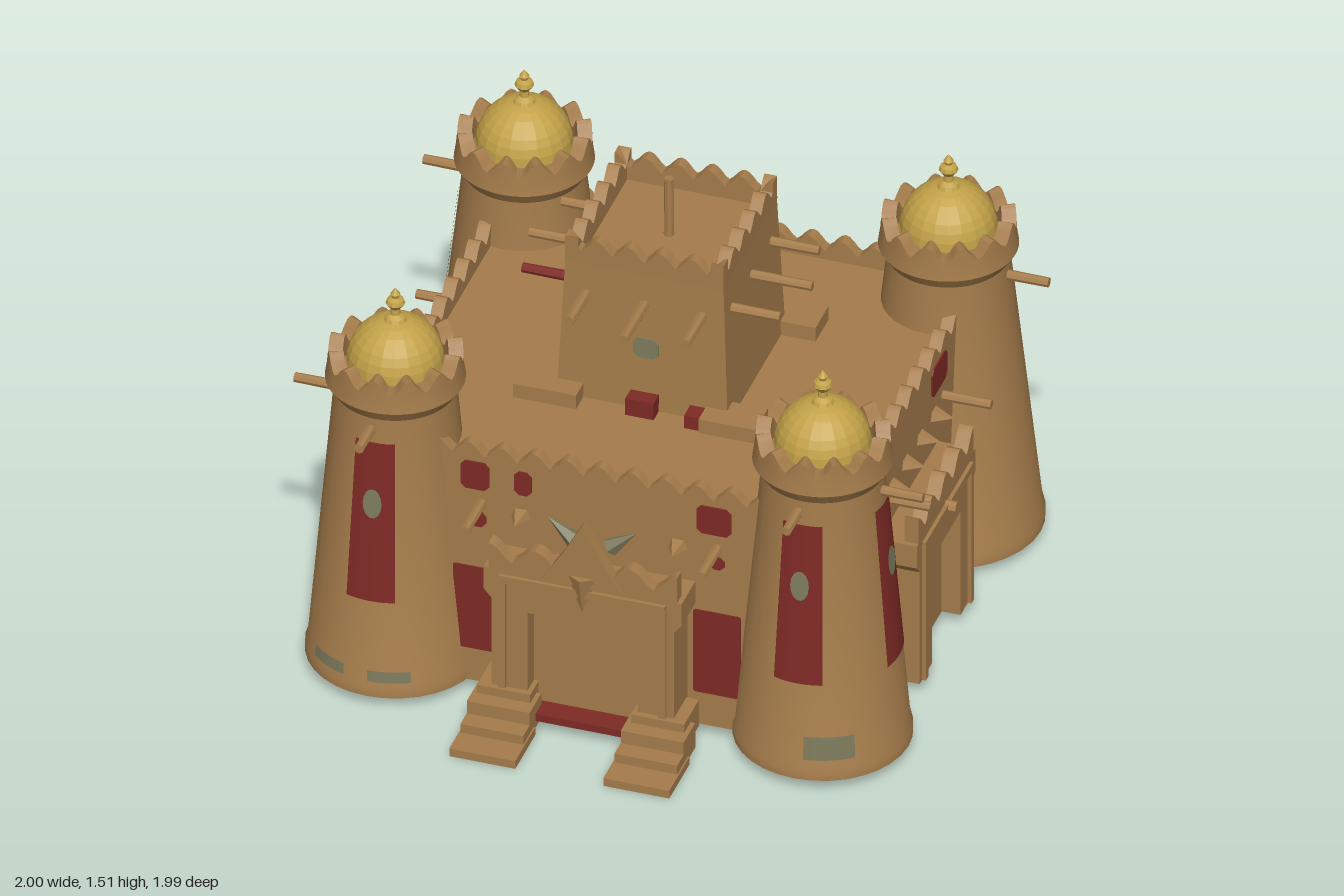
import * as THREE from 'three';
import { toCreasedNormals } from 'three/addons/utils/BufferGeometryUtils.js';

const mat = (name, color) => {
  const m = new THREE.MeshStandardMaterial({ color });
  m.name = name;
  return m;
};

export function createModel() {
  const root = new THREE.Group();
  root.name = 'fort';
  const sand = mat('sand clay', 0xa57c4b);
  const red = mat('red paint', 0x7e2a25);
  const gold = mat('dome gold', 0xc3a248);
  const grey = mat('grey green', 0x7d7a5c);

  const add = (parent, name, geo, m, x = 0, y = 0, z = 0) => {
    const mesh = new THREE.Mesh(toCreasedNormals(geo, 0.5), m);
    mesh.name = name;
    mesh.position.set(x, y, z);
    parent.add(mesh);
    return mesh;
  };
  // box given by its minimum and maximum corners
  const box = (parent, name, m, x0, x1, y0, y1, z0, z1) =>
    add(parent, name, new THREE.BoxGeometry(x1 - x0, y1 - y0, z1 - z0), m, (x0 + x1) / 2, (y0 + y1) / 2, (z0 + z1) / 2);
  // round beam along z from z0 to z1
  const beam = (parent, name, m, x, y, z0, z1, r = 0.017) =>
    add(parent, name, new THREE.CylinderGeometry(r * 0.9, r, z1 - z0, 8).rotateX(Math.PI / 2), m, x, y, (z0 + z1) / 2);
  // thin painted patch with clipped corners, facing +z
  const patch = (parent, name, m, x0, x1, y0, y1, z, c = 0.015) => {
    const s = new THREE.Shape([[x0 + c, y0], [x1 - c, y0], [x1, y0 + c], [x1, y1 - c], [x1 - c, y1], [x0 + c, y1], [x0, y1 - c], [x0, y0 + c]]
      .map(p => new THREE.Vector2(...p)));
    return add(parent, name, new THREE.ExtrudeGeometry(s, { depth: 0.005, bevelEnabled: false }), m, 0, 0, z);
  };
  // parapet with a wavy top edge, outer face at z
  const parapet = (parent, name, len, y0, y1, amp, n, z, depth = 0.04) => {
    const s = new THREE.Shape();
    s.moveTo(-len / 2, y0);
    s.lineTo(len / 2, y0);
    const steps = n * 8;
    for (let i = steps; i >= 0; i--) {
      const t = i / steps;
      s.lineTo((t - 0.5) * len, y1 - amp * (1 - Math.abs(Math.cos(t * n * Math.PI)) ** 1.5));
    }
    return add(parent, name, new THREE.ExtrudeGeometry(s, { depth, bevelEnabled: false }), sand, 0, 0, z - depth);
  };

  // main block
  box(root, 'mainBlock', sand, -0.76, 0.76, 0.04, 0.835, -0.75, 0.65);

  // four wall sides, each built facing +z: front, right, back, left
  const walls = [[0, 0.7, 1.04], [Math.PI / 2, 0.76, 0.84], [Math.PI, 0.7, 1.04], [-Math.PI / 2, 0.76, 0.84]].map(([a, d, len], i) => {
    const g = new THREE.Group();
    g.name = ['frontWall', 'rightWall', 'backWall', 'leftWall'][i];
    g.position.z = -0.05;
    g.rotation.y = a;
    root.add(g);
    parapet(g, 'wallParapet', len, 0.8, 0.91, 0.045, i % 2 ? 8 : 10, d);
    const bx = i % 2 ? 0.285 : 0.375;
    for (const s of [-1, 1]) beam(g, 'wallBeam', sand, s * bx, 0.695, d - 0.03, d + 0.155);
    // small pointed brackets
    for (const x of i === 0 ? [-0.25, 0.25] : [-0.2, -0.07, 0.07, 0.2]) {
      const b = add(g, 'bracket', new THREE.ConeGeometry(0.035, 0.07, 5).rotateX(Math.PI / 2), sand, x, 0.68, d + 0.03);
      b.scale.y = 0.8;
    }
    if (i % 2) {
      patch(g, 'redPatch', red, -0.35, -0.26, 0.77, 0.85, d + 0.001);
      patch(g, 'redPatch', red, 0.17, 0.31, 0.755, 0.855, d + 0.001);
    } else {
      patch(g, 'redPatch', red, -0.44, -0.35, 0.745, 0.845, d + 0.001);
      patch(g, 'redPatch', red, 0.31, 0.42, 0.745, 0.845, d + 0.001);
    }
    return g;
  });
  const front = walls[0];
  for (const s of [[-0.27, -0.215, 0.755, 0.84], [-0.41, -0.36, 0.61, 0.665], [0.35, 0.4, 0.62, 0.665]]) patch(front, 'redPatch', red, ...s, 0.701);
  patch(front, 'redWallPanel', red, -0.465, -0.31, 0.16, 0.46, 0.701, 0.005);
  patch(front, 'redWallPanel', red, 0.3, 0.45, 0.16, 0.46, 0.701, 0.005);

  // projecting gate with a recessed doorway, facing +z
  const gate = (parent, name, cx, z0, depth, halfW, door) => {
    const g = new THREE.Group();
    g.name = name;
    g.position.set(cx, 0, z0);
    parent.add(g);
    const w = halfW - 0.025;
    const s = new THREE.Shape([[-w, 0.04], [-door, 0.04], [-door, 0.42], [door, 0.42], [door, 0.04], [w, 0.04], [w, 0.45],
      [halfW, 0.48], [halfW, 0.56], [-halfW, 0.56], [-halfW, 0.48], [-w, 0.45]].map(p => new THREE.Vector2(...p)));
    add(g, 'gateFrame', new THREE.ExtrudeGeometry(s, { depth, bevelEnabled: false }), sand);
    box(g, 'gateDoor', sand, -door, door, 0.04, 0.42, 0, depth - 0.06);
    // raised moulding around the door
    for (const k of [-1, 1]) box(g, 'gateMoulding', sand, k * (w - 0.035) - 0.012, k * (w - 0.035) + 0.012, 0.04, 0.53, depth, depth + 0.012);
    box(g, 'gateLintel', sand, -w + 0.025, w - 0.025, 0.52, 0.545, depth, depth + 0.012);
    const p = parapet(g, 'gateParapet', halfW * 2 - 0.03, 0.55, 0.65, 0.06, 4, depth, 0.045);
    return { g, p };
  };
  const main = gate(front, 'mainGate', -0.01, 0.69, 0.14, 0.315, 0.175).g;
  const right = gate(walls[1], 'rightGate', -0.04, 0.75, 0.13, 0.275, 0.135).g;
  const left = gate(walls[3], 'leftGate', 0.02, 0.75, 0.13, 0.275, 0.135).g;
  for (const g of [right, left]) beam(g, 'gatePeg', sand, 0, 0.53, 0.1, 0.165, 0.022);
  patch(left, 'redCrest', red, -0.09, 0.09, 0.56, 0.62, 0.131);

  // pointed crest, beak and grey wings over the main gate
  const crest = new THREE.Shape([[-0.13, 0.56], [0.13, 0.56], [0.06, 0.67], [0, 0.78], [-0.06, 0.67]].map(p => new THREE.Vector2(...p)));
  add(main, 'crest', new THREE.ExtrudeGeometry(crest, { depth: 0.04, bevelEnabled: false }), sand, 0, 0, 0.11);
  const beak = add(main, 'beak', new THREE.ConeGeometry(0.05, 0.13, 4).rotateX(Math.PI), sand, 0, 0.53, 0.145);
  beak.scale.z = 0.6;
  for (const s of [-1, 1]) {
    const wing = add(main, 'greyWing', new THREE.ConeGeometry(0.03, 0.11, 5), grey, s * 0.1, 0.69, 0.05);
    wing.rotation.z = -s * 0.9;
    // stair flight and pillar foot
    const x = s * 0.245;
    box(main, 'pillarFoot', sand, x - 0.085, x + 0.085, 0.04, 0.135, 0.02, 0.16);
    box(main, 'upperStep', sand, x - 0.1, x + 0.1, 0.03, 0.105, 0.1, 0.21);
    box(main, 'middleStep', sand, x - 0.1, x + 0.1, 0.015, 0.06, 0.1, 0.27);
    box(main, 'lowerStep', sand, x - 0.105, x + 0.105, 0, 0.028, 0.17, 0.36);
  }
  box(main, 'redThreshold', red, -0.15, 0.15, 0.04, 0.065, 0.06, 0.155);

  // corner towers: [x, z, base radius, x sign, z sign, painted directions]
  const towers = [[-0.68, 0.56, 0.265, -1, 1, [0]], [0.68, 0.56, 0.265, 1, 1, [0, Math.PI / 2]],
    [-0.68, -0.655, 0.285, -1, -1, [-Math.PI / 2]], [0.675, -0.64, 0.285, 1, -1, []]];
  const v = (pts) => pts.map(p => new THREE.Vector2(...p));
  for (const [x, z, rb, sx, sz, painted] of towers) {
    const t = new THREE.Group();
    t.name = 'cornerTower';
    t.position.set(x, 0, z);
    root.add(t);
    const radius = y => rb - (rb - 0.187) * (y - 0.09) / 0.91;
    add(t, 'towerBody', new THREE.LatheGeometry(v([[0, 0.04], [rb + 0.008, 0.04], [rb + 0.008, 0.07], [rb, 0.09], [0.187, 1], [0.187, 1.03]]), 32), sand);
    // wavy crown around the dome
    const crown = new THREE.LatheGeometry(v([[0.187, 1], [0.213, 1.04], [0.207, 1.08], [0.205, 1.125], [0.16, 1.125], [0.16, 1.07], [0, 1.07]]), 96);
    const p = crown.attributes.position;
    for (let i = 0; i < p.count; i++) {
      if (p.getY(i) > 1.12) p.setY(i, 1.125 + 0.025 * Math.cos(12 * Math.atan2(p.getX(i), p.getZ(i))));
    }
    add(t, 'towerCrown', crown, sand);
    const dome = add(t, 'dome', new THREE.SphereGeometry(0.148, 20, 8, 0, Math.PI * 2, 0, Math.PI / 2).toNonIndexed(), gold, 0, 1.1, 0);
    dome.geometry.computeVertexNormals();
    add(t, 'finial', new THREE.LatheGeometry(v([[0.04, 1.235], [0.03, 1.255], [0.015, 1.265], [0.014, 1.285], [0.03, 1.305], [0.026, 1.318], [0.011, 1.325], [0.016, 1.337], [0, 1.36]]), 10), gold);
    // curved paint following the tower side
    const paint = (name, m, a, half, y0, y1, off) => add(t, name,
      new THREE.CylinderGeometry(radius(y1) + off, radius(y0) + off, y1 - y0, 8, 1, true, a - half, half * 2), m, 0, (y0 + y1) / 2, 0);
    for (const a of painted) {
      paint('redTowerPanel', red, a, 0.32, 0.37, 0.92, 0.004);
      const h = new THREE.Group();
      h.name = 'towerMedallion';
      h.rotation.y = a;
      t.add(h);
      const disc = add(h, 'greyDisc', new THREE.CircleGeometry(0.03, 14), grey, 0, 0.71, radius(0.71) + 0.008);
      disc.scale.y = 1.7;
      disc.rotation.x = -0.085;
    }
    if (sz > 0) {
      if (sx > 0) paint('greyStain', grey, 0.4, 0.3, 0.11, 0.19, 0.004);
      else for (const a of [-0.55, 0.25]) paint('greyStain', grey, a, 0.25, 0.092, 0.13, 0.004);
    }
    // outward beams
    beam(t, 'towerBeam', sand, -0.015, 0.96, sz > 0 ? 0.15 : -0.33, sz > 0 ? 0.3 : -0.15);
    const side = beam(t, 'towerBeam', sand, 0, 0.96, -0.085, 0.085);
    side.rotation.y = sx * Math.PI / 2;
    side.position.set(sx * 0.235, 0.96, 0);
  }

  // central keep with a slight taper
  const keep = new THREE.Group();
  keep.name = 'keep';
  keep.position.set(-0.012, 0, -0.06);
  root.add(keep);
  const block = new THREE.CylinderGeometry(0.252 * Math.SQRT2, 0.272 * Math.SQRT2, 0.48, 4).rotateY(Math.PI / 4);
  add(keep, 'keepBlock', block, sand, 0, 1.07, 0);
  for (let i = 0; i < 4; i++) {
    const g = new THREE.Group();
    g.name = 'keepSide';
    g.rotation.y = i * Math.PI / 2;
    keep.add(g);
    parapet(g, 'keepParapet', 0.504, 1.29, 1.4, 0.045, 5, 0.252);
    [-0.185, 0, 0.185].forEach((x, j) => beam(g, 'keepBeam', (i === 3 && j === 2) || (i === 2 && j === 0) ? red : sand, x, 1.205, 0.24, j === 1 ? 0.45 : 0.41));
  }
  const win = patch(keep, 'keepWindow', grey, -0.03, 0.05, 1.02, 1.09, 0.266);
  win.rotation.x = -0.01;
  win.position.z = 0.275;
  add(keep, 'mast', new THREE.CylinderGeometry(0.015, 0.017, 0.23, 8), sand, 0, 1.4, 0.02);

  // low blocks on the roof around the keep
  for (const [z0, z1] of [[-0.41, -0.29], [0.16, 0.28]]) {
    box(root, 'roofBlock', sand, -0.4, -0.2, 0.83, 0.885, z0, z1);
    box(root, 'roofBlock', sand, 0.19, 0.37, 0.83, 0.885, z0, z1);
    box(root, 'redRoofBlock', red, -0.05, 0.04, 0.83, 0.895, z0 + 0.01, z1 - 0.02);
    box(root, 'redRoofBlock', red, 0.14, 0.19, 0.83, 0.88, z0 + 0.03, z1 - 0.01);
  }
  return root;
}
